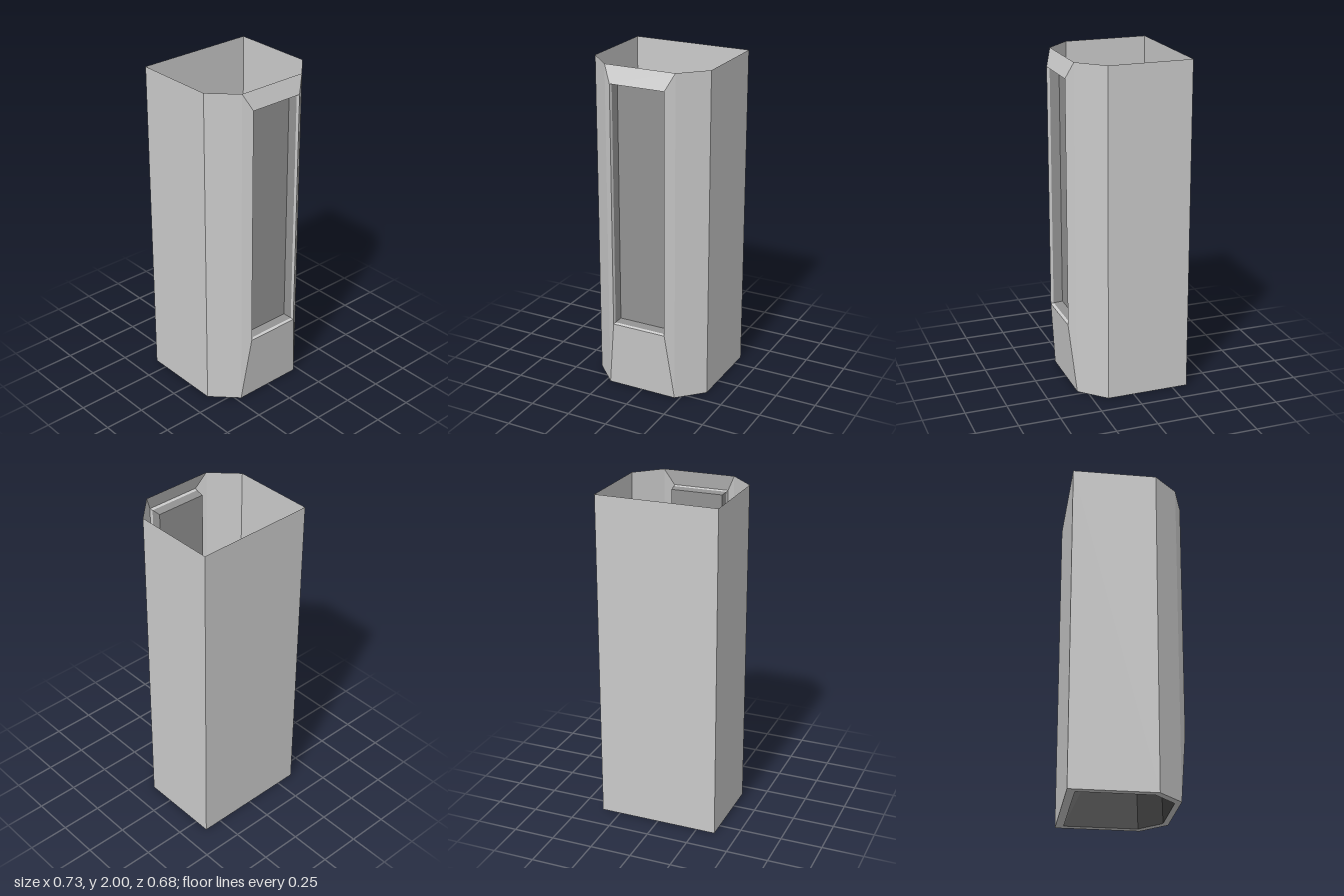
import * as THREE from 'three';

const material = (name, color) =>
  new THREE.MeshStandardMaterial({ name, color, side: THREE.DoubleSide, flatShading: true });

// Surface joining successive closed rings of points [x, y, z]
function loft(rings, closed = true) {
  const pos = [];
  for (let r = 0; r < rings.length - 1; r++) {
    const a = rings[r], b = rings[r + 1], n = a.length;
    for (let i = 0; i < (closed ? n : n - 1); i++) {
      const j = (i + 1) % n;
      pos.push(...a[i], ...a[j], ...b[j], ...a[i], ...b[j], ...b[i]);
    }
  }
  const geo = new THREE.BufferGeometry();
  geo.setAttribute('position', new THREE.Float32BufferAttribute(pos, 3));
  geo.computeVertexNormals();
  return geo;
}

// Flat fan over a convex ring
function cap(ring) {
  const pos = [];
  for (let i = 1; i < ring.length - 1; i++) pos.push(...ring[0], ...ring[i + 1], ...ring[i]);
  const geo = new THREE.BufferGeometry();
  geo.setAttribute('position', new THREE.Float32BufferAttribute(pos, 3));
  geo.computeVertexNormals();
  return geo;
}

// Box plan with two chamfered front corners, from front left around the back to front right
const plan = (y, side, back, chamferX, chamferZ, front) => [
  [chamferX, y, front], [side, y, chamferZ], [side, y, back],
  [-side, y, back], [-side, y, chamferZ], [-chamferX, y, front],
];

// Upright rectangle in the front
const rect = (halfW, y0, y1, z) => [
  [-halfW, y0, z], [halfW, y0, z], [halfW, y1, z], [-halfW, y1, z],
];

export function createModel() {
  const group = new THREE.Group();
  const shellGrey = material('shell grey', 0xcacaca);
  const windowGrey = material('window grey', 0x929292);
  const darkGrey = material('dark grey', 0x363636);
  const add = (name, geo, mat) => {
    const mesh = new THREE.Mesh(geo, mat);
    mesh.name = name;
    group.add(mesh);
  };

  // Thin outer walls, open at the top and across the front
  const outerBottom = plan(0, 0.365, -0.342, 0.22, 0.16, 0.305);
  const outerTop = plan(2, 0.365, -0.342, 0.22, 0.16, 0.305);
  add('outerWalls', loft([outerTop, outerBottom], false), shellGrey);

  // Bevelled front bulging out to a narrow lip around the window
  add('frontFrame', loft([
    [[-0.22, 0, 0.305], [0.22, 0, 0.305], [0.22, 2, 0.305], [-0.22, 2, 0.305]],
    rect(0.17, 0.42, 1.9, 0.342),
    rect(0.165, 0.425, 1.895, 0.325),
  ]), shellGrey);

  // Sunken window
  const windowBack = rect(0.16, 0.43, 1.89, 0.27);
  add('windowSides', loft([rect(0.165, 0.425, 1.895, 0.325), windowBack]), windowGrey);
  add('windowPane', cap([...windowBack].reverse()), windowGrey);

  // Flat rim under the walls and the dark hollow rising inside it
  const innerBottom = plan(0, 0.32, -0.295, 0.19, 0.143, 0.27);
  const innerTop = plan(0.9, 0.32, -0.295, 0.19, 0.122, 0.25);
  add('bottomRim', loft([outerBottom, innerBottom]), shellGrey);
  add('hollowWalls', loft([innerTop, innerBottom]), darkGrey);
  add('hollowCeiling', cap([...innerTop].reverse()), darkGrey);

  return group;
}
